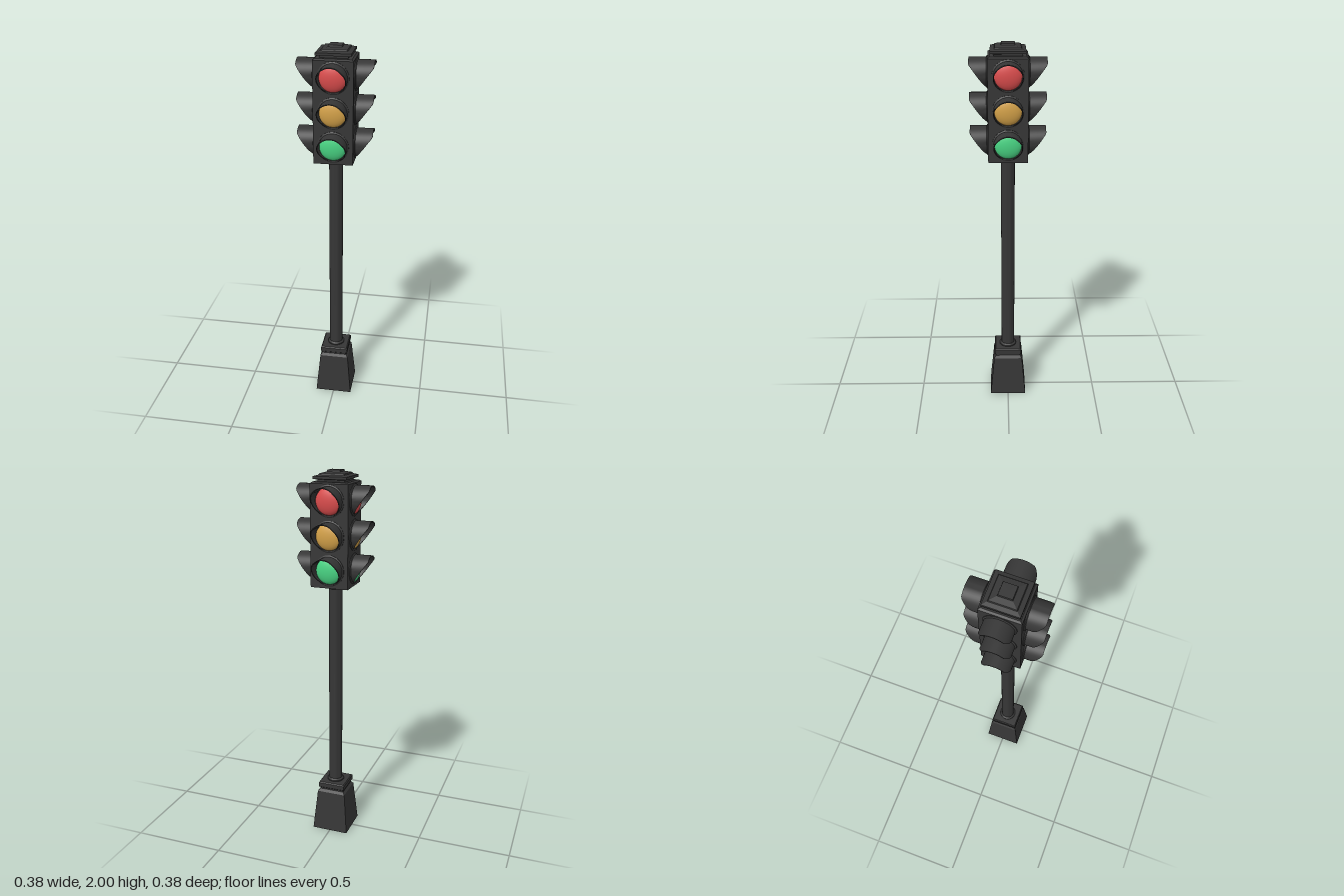
import * as THREE from 'three';
import { toCreasedNormals } from 'three/addons/utils/BufferGeometryUtils.js';

function material(name, color) {
  const m = new THREE.MeshStandardMaterial({ color });
  m.name = name;
  return m;
}

// Revolve [radius, height] pairs; keeps hard edges sharp
function turned(points, sides, phase = 0) {
  return new THREE.LatheGeometry(points.map(([r, y]) => new THREE.Vector2(r, y)), sides, phase);
}

// Square-section solid from [halfWidth, height] pairs
function squareTurned(points) {
  const wide = points.map(([w, y]) => [w * Math.SQRT2, y]);
  return toCreasedNormals(turned(wide, 4, Math.PI / 4), 0.1);
}

// Round hood, cut back towards the bottom; opens along +z
function hoodGeometry() {
  const outer = 0.073, inner = 0.0685;
  const g = turned([[outer, 0], [outer, 0.5], [outer, 1], [inner, 1], [inner, 0.5], [inner, 0]], 48);
  g.rotateX(Math.PI / 2);
  const p = g.attributes.position;
  for (let i = 0; i < p.count; i++) {
    const s = p.getY(i) / Math.hypot(p.getX(i), p.getY(i));
    p.setZ(i, p.getZ(i) * Math.min(0.092, 0.057 + 0.053 * s));
  }
  return toCreasedNormals(g, 0.6);
}

export function createModel() {
  const model = new THREE.Group();
  model.name = 'trafficLight';
  const metal = material('darkMetal', 0x363636);
  const lights = [
    ['red', 1.857, material('redLens', 0xd94c4c)],
    ['amber', 1.683, material('amberLens', 0xd2a048)],
    ['green', 1.511, material('greenLens', 0x48d282)],
  ];

  function add(parent, name, geometry, mat = metal) {
    const mesh = new THREE.Mesh(geometry, mat);
    mesh.name = name;
    parent.add(mesh);
    return mesh;
  }

  // Tapered foot with a stepped cap
  add(model, 'base', squareTurned([
    [0, 0], [0.1, 0], [0.079, 0.228], [0.068, 0.242], [0.068, 0.25],
    [0.075, 0.256], [0.075, 0.28], [0.07, 0.286], [0, 0.286],
  ]));

  // Round pole with a collar at each end
  add(model, 'pole', toCreasedNormals(turned([
    [0.046, 0.28], [0.046, 0.292], [0.036, 0.3], [0.036, 1.4],
    [0.043, 1.408], [0.043, 1.425],
  ], 32), 0.5));

  // Four-sided lamp housing with a chamfered top
  add(model, 'housing', squareTurned([
    [0, 1.42], [0.1, 1.42], [0.1, 1.94], [0.09, 1.947], [0, 1.947],
  ]));

  // Stepped roof
  add(model, 'roof', squareTurned([
    [0.07, 1.945], [0.07, 1.956], [0.088, 1.96], [0.088, 1.973],
    [0.067, 1.979], [0.064, 1.985], [0.035, 1.992], [0.033, 2], [0, 2],
  ]));

  // Three hooded lamps on every side
  const hood = hoodGeometry();
  const flange = toCreasedNormals(
    turned([[0.08, 0], [0.08, 0.003], [0.074, 0.007], [0.068, 0.007], [0.068, 0]], 48).rotateX(Math.PI / 2), 0.5);
  const dome = new THREE.SphereGeometry(0.0685, 32, 12, 0, Math.PI * 2, 0, Math.PI / 2)
    .scale(1, 0.42, 1).rotateX(Math.PI / 2);
  for (let side = 0; side < 4; side++) {
    const face = new THREE.Group();
    face.name = 'lampFace' + (side + 1);
    face.rotation.y = side * Math.PI / 2;
    for (const [name, y, lens] of lights) {
      const lamp = new THREE.Group();
      lamp.name = name + 'Lamp';
      lamp.position.set(0, y, 0.1);
      add(lamp, 'flange', flange);
      add(lamp, 'hood', hood);
      add(lamp, 'lens', dome, lens);
      face.add(lamp);
    }
    model.add(face);
  }
  return model;
}
